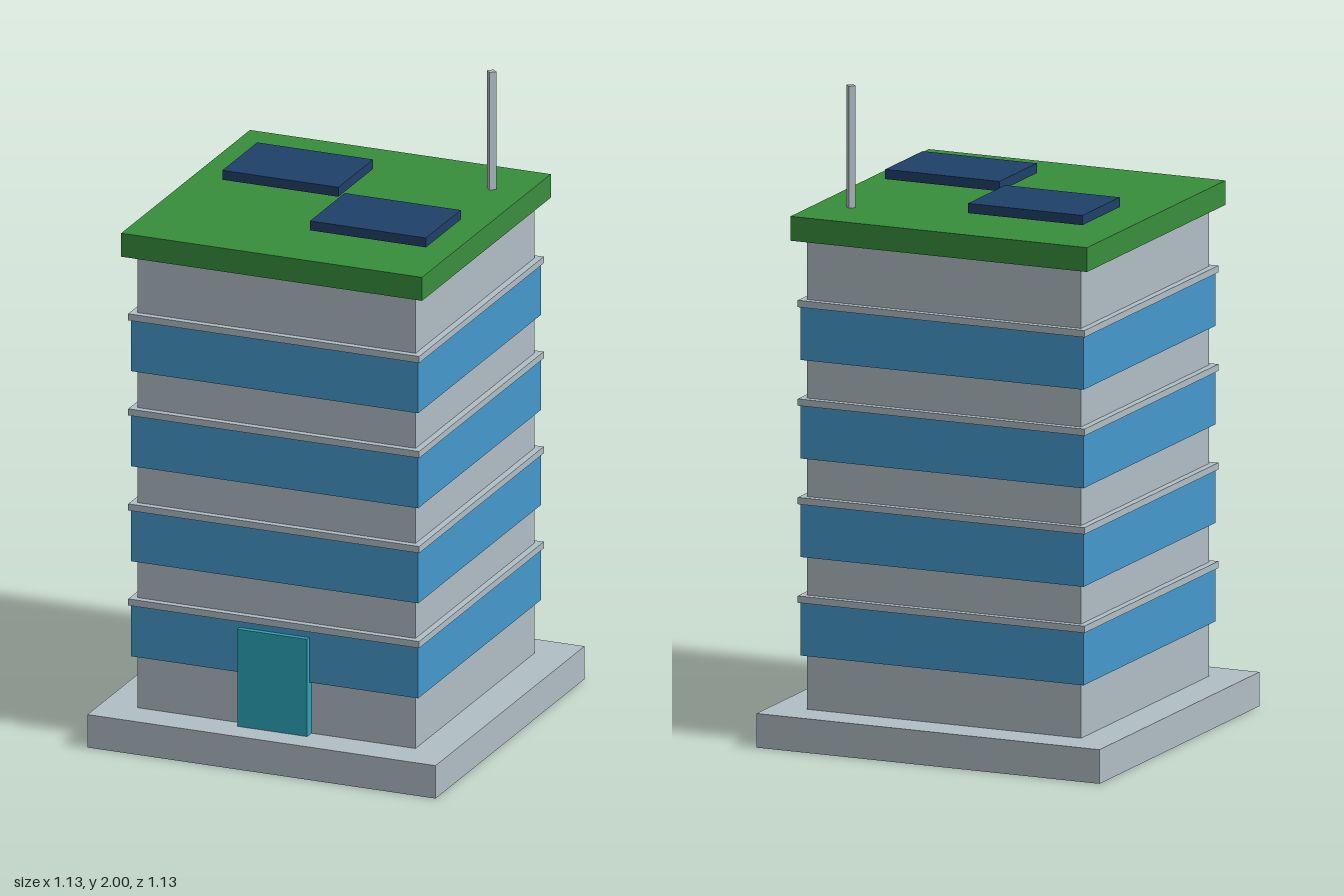
import * as THREE from 'three';

export function createModel() {
  const model = new THREE.Group();
  model.name = 'officeTower';

  const material = (name, color) => {
    const m = new THREE.MeshStandardMaterial({ color });
    m.name = name;
    return m;
  };
  const concrete = material('concrete', 0xb0bec5);
  const glass = material('windowGlass', 0x4499cc);
  const grass = material('roofGreen', 0x388e3c);
  const solar = material('solarBlue', 0x1f4068);
  const teal = material('doorTeal', 0x2ba5b8);

  // Box given by its size, bottom height and centre in plan
  const box = (name, mat, w, h, d, bottom, x = 0, z = 0) => {
    const mesh = new THREE.Mesh(new THREE.BoxGeometry(w, h, d), mat);
    mesh.name = name;
    mesh.position.set(x, bottom + h / 2, z);
    model.add(mesh);
    return mesh;
  };

  // Plinth and tower
  box('plinth', concrete, 1.134, 0.105, 1.134, 0);
  box('tower', concrete, 0.906, 1.445, 0.906, 0.105);

  // Window band with a thin ledge on top, once per floor
  for (let i = 0; i < 4; i++) {
    const y = 0.272 + i * 0.303;
    box(`windowBand${i + 1}`, glass, 0.936, 0.163, 0.936, y);
    box(`ledge${i + 1}`, concrete, 0.948, 0.021, 0.948, y + 0.163);
  }

  // Entrance
  box('door', teal, 0.227, 0.31, 0.034, 0.105, 0, 0.468);

  // Planted roof with two solar panels
  box('greenRoof', grass, 0.98, 0.075, 0.98, 1.55);
  box('solarPanelRight', solar, 0.378, 0.03, 0.265, 1.64, -0.19, -0.153);
  box('solarPanelLeft', solar, 0.378, 0.03, 0.265, 1.64, 0.225, 0.15);

  // Four-sided antenna mast
  const mast = new THREE.CylinderGeometry(0.015, 0.015, 0.378, 4).toNonIndexed();
  mast.computeVertexNormals();
  const antenna = new THREE.Mesh(mast, concrete);
  antenna.name = 'antenna';
  antenna.position.set(0.377, 1.811, -0.304);
  model.add(antenna);

  return model;
}
